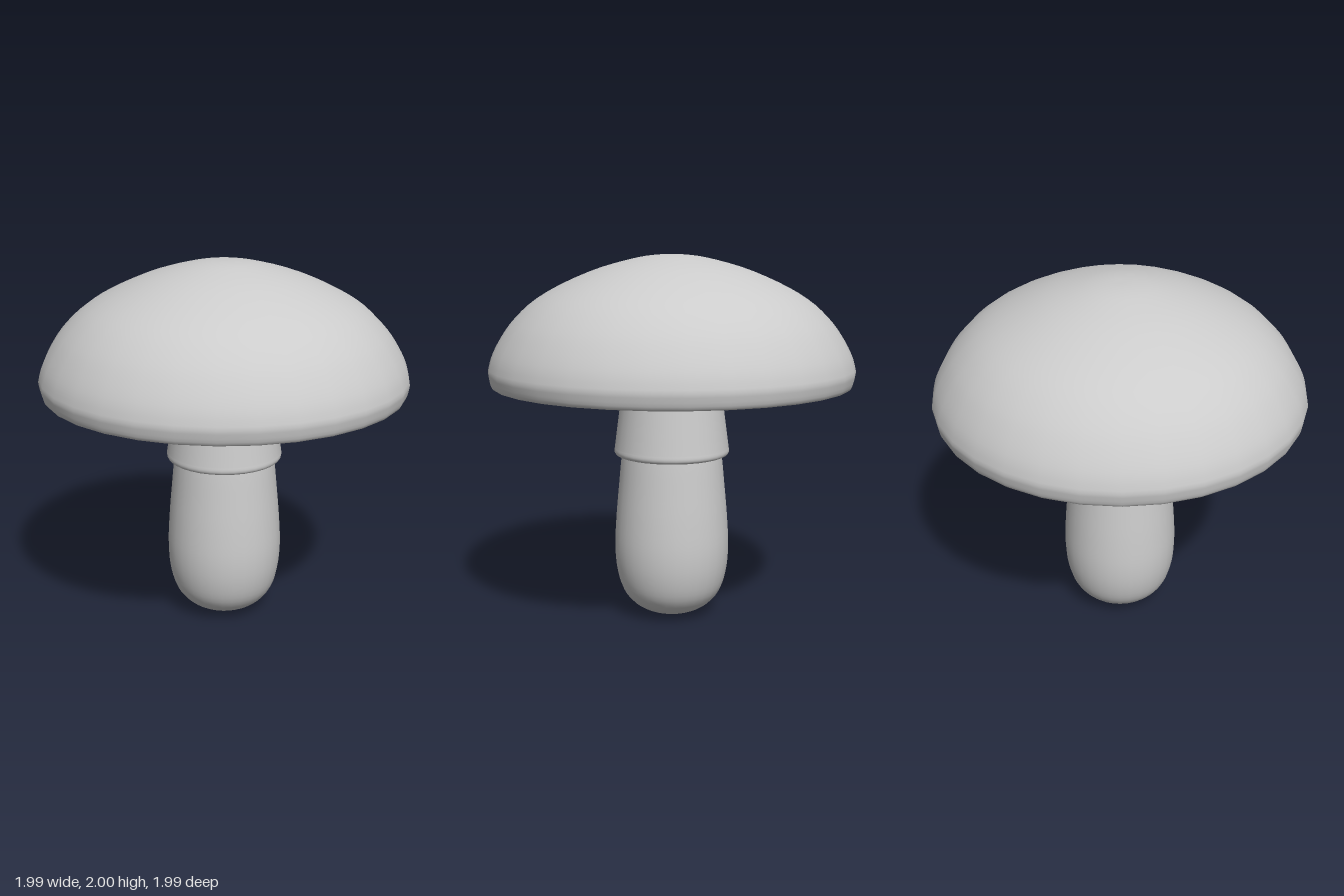
import * as THREE from 'three';

const material = new THREE.MeshStandardMaterial({ color: 0xcccccc, side: THREE.DoubleSide });

// Smooth curve through [radius, height] points
function smooth(points, steps) {
  const curve = new THREE.SplineCurve(points.map(([r, y]) => new THREE.Vector2(r, y)));
  return curve.getPoints(steps).map((p) => new THREE.Vector2(Math.max(p.x, 0), Math.max(p.y, 0)));
}

// Turned part, profile running from the lower centre outwards and up
function turned(name, profile) {
  const mesh = new THREE.Mesh(new THREE.LatheGeometry(profile, 32), material);
  mesh.name = name;
  return mesh;
}

export function createModel() {
  const group = new THREE.Group();
  group.name = 'mushroom';

  // Cap: hollow underside, rounded lip, domed top
  const underside = smooth([
    [0, 1.62], [0.23, 1.61], [0.5, 1.57], [0.72, 1.49], [0.87, 1.38], [0.93, 1.31],
  ], 20);
  const lip = smooth([
    [0.945, 1.3], [0.97, 1.3], [0.985, 1.325], [0.995, 1.38],
  ], 8);
  const dome = smooth([
    [0.995, 1.38], [0.975, 1.455], [0.93, 1.545], [0.86, 1.645], [0.75, 1.75],
    [0.6, 1.84], [0.4, 1.925], [0.2, 1.98], [0.08, 1.998], [0, 2],
  ], 28).slice(1);
  group.add(turned('cap', [...underside, ...lip, ...dome]));

  // Stem: rounded foot, tapering upwards
  group.add(turned('stem', smooth([
    [0, 0], [0.1, 0.012], [0.2, 0.057], [0.27, 0.135], [0.306, 0.25],
    [0.318, 0.39], [0.31, 0.56], [0.294, 0.74], [0.276, 0.92], [0.25, 1.1],
  ], 32)));

  // Collar: skirt with a rolled lower edge, rising into the cap
  group.add(turned('collar', [
    new THREE.Vector2(0.25, 0.908),
    ...smooth([[0.295, 0.908], [0.311, 0.915], [0.318, 0.932], [0.315, 0.955]], 8),
    ...smooth([[0.308, 1.01], [0.27, 1.3], [0.23, 1.63]], 8),
  ]));

  return group;
}
